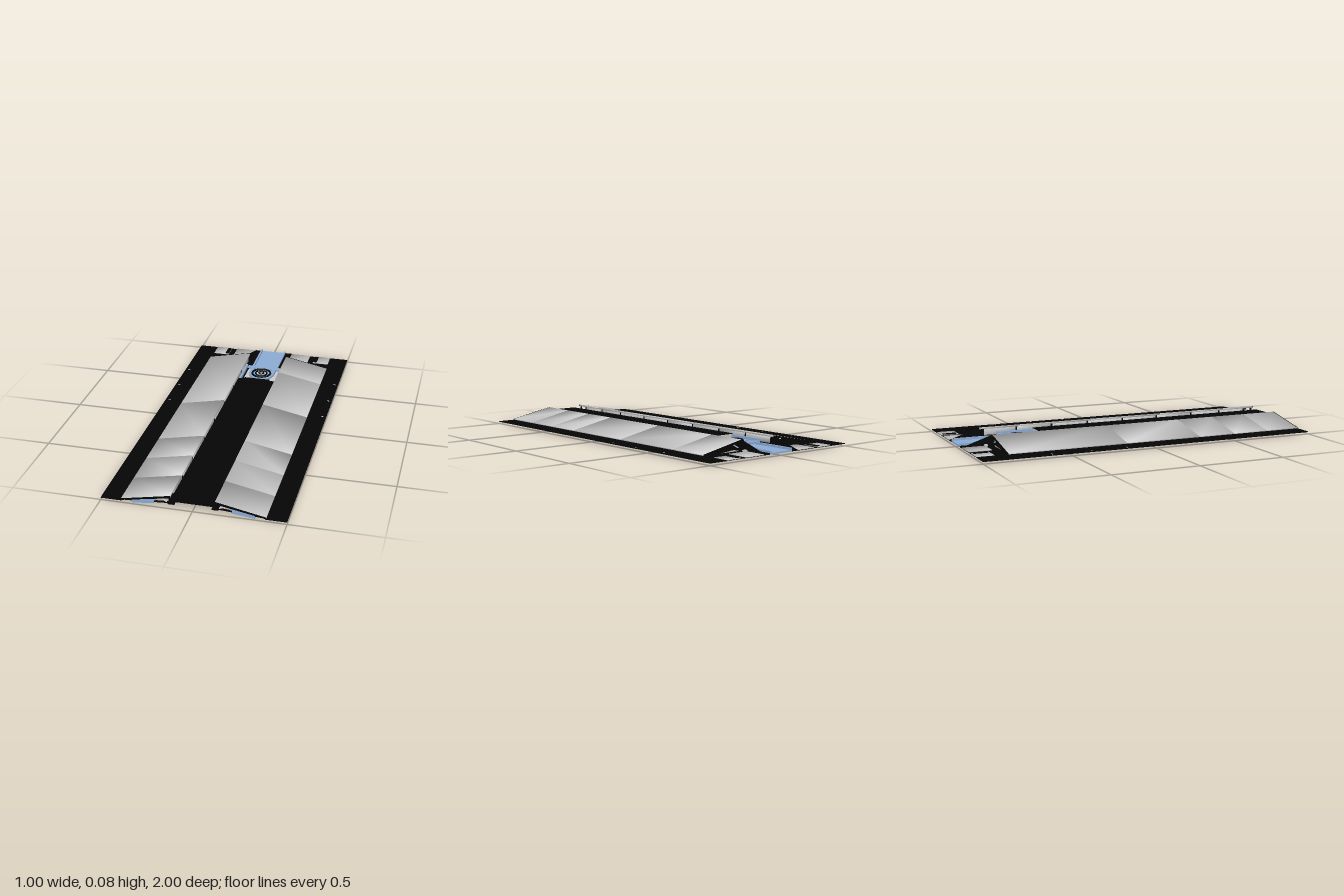
import * as THREE from 'three';

const material = (color) => new THREE.MeshStandardMaterial({ color, side: THREE.DoubleSide });

// Small seeded generator, -1 to 1
let seed = 7;
const wobble = () => {
  seed = (seed * 16807) % 2147483647;
  return (seed / 2147483647) * 2 - 1;
};

// Share normals across all edges and vary them a little, for uneven, dented-looking plating
function soften(geometry, amount) {
  const soft = geometry.index ? geometry.toNonIndexed() : geometry;
  soft.computeVertexNormals();
  const { position, normal } = soft.attributes;
  const shared = new Map();
  const keys = [];
  for (let i = 0; i < position.count; i++) {
    const key = [position.getX(i), position.getY(i), position.getZ(i)].map((v) => v.toFixed(4)).join();
    if (!shared.has(key)) {
      shared.set(key, new THREE.Vector3(wobble(), wobble() * 0.3, wobble()).multiplyScalar(amount));
    }
    shared.get(key).add(new THREE.Vector3().fromBufferAttribute(normal, i));
    keys.push(key);
  }
  keys.forEach((key, i) => {
    const n = shared.get(key).clone().normalize();
    normal.setXYZ(i, n.x, n.y, n.z);
  });
  return soft;
}

export function createModel() {
  seed = 7;
  const model = new THREE.Group();
  const grey = material(0xcccccc);
  const black = material(0x050505);
  const blue = material(0x8cabd4);

  const add = (name, geometry, mat) => {
    const mesh = new THREE.Mesh(geometry, mat);
    mesh.name = name;
    model.add(mesh);
    return mesh;
  };
  const box = (name, mat, x0, x1, y0, y1, z0, z1, softness = 0) => {
    const geometry = new THREE.BoxGeometry(Math.abs(x1 - x0), y1 - y0, z1 - z0);
    const mesh = add(name, softness ? soften(geometry, softness) : geometry, mat);
    mesh.position.set((x0 + x1) / 2, (y0 + y1) / 2, (z0 + z1) / 2);
  };
  // Cross-section in x, y swept from z0 to z1
  const sweep = (name, mat, points, z0, z1, side = 1, softness = 0) => {
    const shape = new THREE.Shape(points.map(([x, y]) => new THREE.Vector2(x * side, y)));
    const geometry = new THREE.ExtrudeGeometry(shape, { depth: z1 - z0, bevelEnabled: false });
    geometry.translate(0, 0, z0);
    add(name, softness ? soften(geometry, softness) : geometry, mat);
  };
  // Square bar between two points in x, y at one z
  const bar = (name, mat, a, b, z, thick, depth, side) => {
    const dx = (b[0] - a[0]) * side, dy = b[1] - a[1];
    const mesh = add(name, new THREE.BoxGeometry(Math.hypot(dx, dy), thick, depth), mat);
    mesh.position.set((a[0] + b[0]) / 2 * side, (a[1] + b[1]) / 2, z);
    mesh.rotation.z = Math.atan2(dy, dx);
  };

  const skin = [[0.39, 0.014], [0.39, 0.021], [0.12, 0.075], [0.12, 0.064]];
  const innerBelly = [[0.245, 0.042], [0.125, 0.066], [0.125, 0.028], [0.21, 0.02], [0.245, 0.017]];
  const outerBelly = [[0.38, 0.017], [0.25, 0.041], [0.25, 0.017], [0.32, 0.009]];
  const rib = [[0.385, 0.017], [0.125, 0.066], [0.122, 0.024], [0.2, 0.016], [0.32, 0.004]];
  const seams = {
    '-1': [-0.825, -0.13, 0.33, 0.56, 0.78, 0.995],
    '1': [-0.825, -0.59, -0.13, 0.33, 0.56, 0.78, 0.995],
  };
  const skirtSeams = [-1, -0.61, -0.17, 1];
  const ribs = [-0.8, -0.6, -0.38, -0.15, 0.08, 0.31, 0.55, 0.75, 0.93];

  for (const s of [-1, 1]) {
    // Flat outer skirt
    for (let i = 0; i + 1 < skirtSeams.length; i++) {
      box('skirt', black, s * 0.385, s * 0.5, 0.011, 0.015, skirtSeams[i] + (i ? 0.002 : 0), skirtSeams[i + 1]);
    }
    for (const z of [-0.61, -0.38, -0.17]) {
      box('skirtBracket', grey, s * 0.47, s * 0.485, 0.01, 0.016, z - 0.003, z + 0.003);
    }

    // Sloping roof plates with dark end trims
    const cuts = seams[s];
    for (let i = 0; i + 1 < cuts.length; i++) {
      sweep('slopePlate', grey, skin, cuts[i] + (i ? 0.003 : 0), cuts[i + 1], s, 1.1);
    }
    sweep('plateTrim', black, skin, -0.83, -0.825, s);
    sweep('plateTrim', black, skin, 0.995, 1, s);

    // Underside boxes between dark ribs
    ribs.forEach((z, i) => {
      sweep('underRib', black, rib, z - 0.005, z + 0.005, s);
      box('foot', black, s * 0.31, s * 0.33, 0, 0.008, z - 0.006, z + 0.006);
      if (i + 1 < ribs.length) {
        const end = ribs[i + 1], mid = (z + end) / 2;
        sweep('underBoxInner', grey, innerBelly, z + 0.005, end - 0.005, s, 1.3);
        sweep('underBoxOuter', grey, outerBelly, z + 0.005, mid, s, 1.3);
        sweep('underBoxOuter', grey, outerBelly, mid + 0.003, end - 0.005, s, 1.3);
        box('underPad', grey, s * 0.14, s * 0.22, 0.015, 0.03, mid - 0.075, mid + 0.075, 1.3);
      }
    });

    // Open-ended frames at both ends
    for (const z of [-0.82, 0.985]) {
      bar('endFrame', black, [0.37, 0.014], [0.13, 0.03], z, 0.006, 0.01, s);
      bar('endPost', black, [0.127, 0.028], [0.127, 0.066], z, 0.008, 0.01, s);
      bar('endBrace', grey, [0.14, 0.032], [0.18, 0.054], z, 0.005, 0.008, s);
      bar('endBrace', black, [0.18, 0.054], [0.23, 0.024], z, 0.005, 0.008, s);
    }
    bar('frontActuator', blue, [0.2, 0.046], [0.33, 0.016], 0.97, 0.018, 0.05, s);
    bar('frontMount', blue, [0.21, 0.024], [0.33, 0.01], 0.95, 0.012, 0.09, s);

    // Low rear floor with its plates and tapering webs
    box('rearFloor', black, s * 0.11, s * 0.39, 0.012, 0.014, -1, -0.82);
    box('rearOuterPlate', grey, s * 0.285, s * 0.385, 0.014, 0.017, -1, -0.9, 0.8);
    box('rearOuterStep', black, s * 0.285, s * 0.31, 0.017, 0.02, -0.99, -0.91);
    box('rearInnerPlate', grey, s * 0.125, s * 0.25, 0.014, 0.018, -1, -0.87, 0.8);
    box('rearUnderPlate', grey, s * 0.125, s * 0.25, 0.009, 0.012, -0.995, -0.86, 1.3);
    box('rearUnderPlate', grey, s * 0.27, s * 0.38, 0.009, 0.012, -0.995, -0.86, 1.3);
    box('rearHinge', grey, s * 0.125, s * 0.15, 0.018, 0.026, -0.875, -0.86);
    const web = new THREE.Shape([[-0.825, 0.074], [-0.825, 0.012], [-1, 0.012], [-1, 0.017]]
      .map(([z, y]) => new THREE.Vector2(-z, y)));
    const webGeometry = new THREE.ExtrudeGeometry(web, { depth: 0.006, bevelEnabled: false });
    add('rearWeb', webGeometry.rotateY(Math.PI / 2).translate(s * 0.12 - 0.003, 0, 0), black);

    // Channel side rails
    box('channelRail', blue, s * 0.108, s * 0.12, 0.014, 0.044, -0.72, 0.4);
    box('channelFloor', black, s * 0.1, s * 0.135, 0.02, 0.026, -0.83, 0.99);
    box('rearRail', blue, s * 0.072, s * 0.083, 0.012, 0.032, -1, -0.72);
    box('rearRailTrim', black, s * 0.083, s * 0.122, 0.012, 0.02, -1, -0.72);
  }

  // Centre deck: wide slab with a raised middle
  sweep('centreDeck', black, [[-0.12, 0.045], [-0.12, 0.049], [-0.08, 0.051], [-0.08, 0.058],
    [0.08, 0.058], [0.08, 0.051], [0.12, 0.049], [0.12, 0.045]], -0.5, 1);
  box('deckUnderside', grey, -0.118, 0.118, 0.043, 0.045, 0.38, 0.99);
  box('deckRearFace', grey, -0.115, 0.115, 0.018, 0.046, -0.503, -0.497);

  // Equipment under the deck
  for (let i = 0; i < 5; i++) {
    const z = -0.49 + i * 0.178;
    box('underDeckBlock', grey, -0.105, 0.105, 0.02, 0.044, z + 0.014, z + 0.164, 1.2);
    box('underDeckPanel', grey, -0.07, 0.07, 0.015, 0.02, z + 0.03, z + 0.15, i % 2 ? 0 : 1.2);
    box('underDeckFrame', blue, -0.12, 0.12, 0.012, 0.026, z - 0.004, z + 0.012);
    for (const s of [-1, 1]) box('underDeckLug', blue, s * 0.085, s * 0.108, 0.012, 0.022, z + 0.06, z + 0.12);
  }
  box('frontCrossbar', blue, -0.12, 0.12, 0.012, 0.022, 0.38, 0.4);
  box('frontRecess', black, -0.075, 0.075, 0.022, 0.043, 0.385, 0.395);

  // Rear trough and ring mount
  box('ringBase', grey, -0.115, 0.115, 0.014, 0.022, -0.72, -0.5);
  box('rearTrough', blue, -0.072, 0.072, 0.012, 0.02, -1, -0.72);
  box('troughEnd', blue, -0.105, 0.105, 0.016, 0.034, -0.73, -0.70);
  for (const s of [-1, 1]) box('ringArm', blue, s * 0.06, s * 0.08, 0.022, 0.036, -0.70, -0.62);

  const disc = (name, mat, radius, y0, y1) => {
    const mesh = add(name, new THREE.CylinderGeometry(radius, radius, y1 - y0, 32), mat);
    mesh.position.set(0, (y0 + y1) / 2, -0.625);
  };
  const ring = (name, mat, radius, tube, y) => {
    const mesh = add(name, new THREE.TorusGeometry(radius, tube, 8, 32), mat);
    mesh.rotation.x = Math.PI / 2;
    mesh.position.set(0, y, -0.625);
  };
  disc('ringFlange', blue, 0.076, 0.012, 0.034);
  ring('ringCollar', black, 0.058, 0.006, 0.037);
  ring('ringInner', black, 0.036, 0.005, 0.036);
  disc('ringPlate', grey, 0.03, 0.034, 0.037);
  ring('ringHub', black, 0.016, 0.004, 0.039);
  return model;
}
